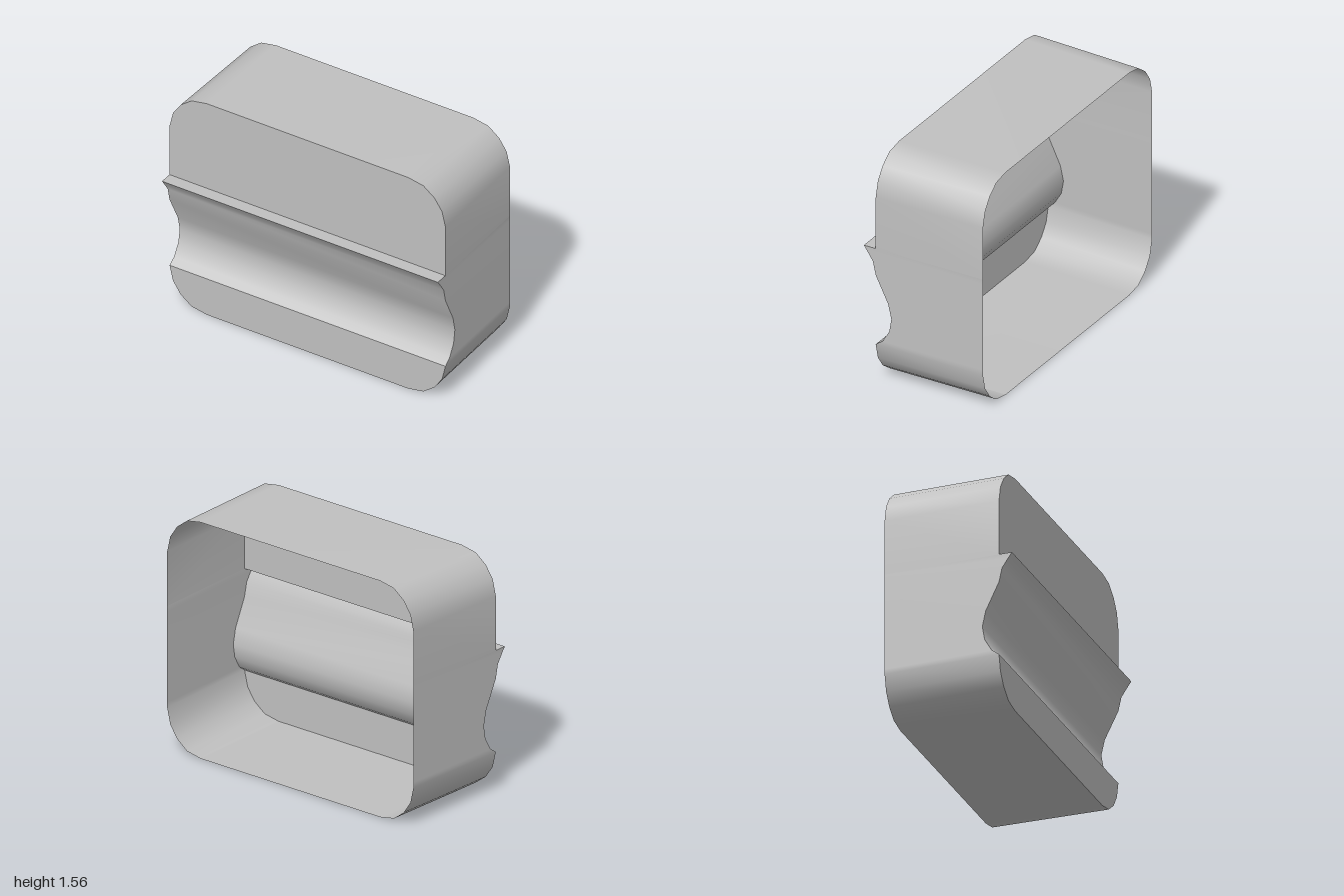
import * as THREE from 'three';

const BACK = -0.42, FRONT = 0.335, HEIGHT = 1.56, LEDGE = 0.935, SILL = 0.265;

// Groove in the front, from the lip down to the sill: [y, z]
const groove = [
  [LEDGE, 0.42], [0.9, 0.395], [0.84, 0.355], [0.75, 0.335], [0.57, 0.247],
  [0.47, 0.225], [0.38, 0.24], [0.3, 0.287], [SILL, FRONT],
];

// Rounded corner, from the upright side to the flat top: [x, distance from the end]
const corner = [[1, 0.265], [0.975, 0.16], [0.92, 0.08], [0.84, 0.02], [0.73, 0]];

// The shell narrows slightly towards the back
const taper = (z) => Math.min(1, 0.98 + 0.02 * (z - BACK) / (FRONT - BACK));

// Joins two rows of points with a smooth strip
function strip(rowA, rowB, material, name) {
  const n = rowA.length, index = [];
  for (let i = 0; i < n - 1; i++) {
    index.push(i, i + 1, n + i + 1, i, n + i + 1, n + i);
  }
  const geometry = new THREE.BufferGeometry();
  geometry.setAttribute('position', new THREE.Float32BufferAttribute([...rowA, ...rowB].flat(), 3));
  geometry.setIndex(index);
  geometry.computeVertexNormals();
  const mesh = new THREE.Mesh(geometry, material);
  mesh.name = name;
  return mesh;
}

function panel(points, material, name) {
  const shape = new THREE.Shape(points.map(([x, y]) => new THREE.Vector2(x, y)));
  const mesh = new THREE.Mesh(new THREE.ShapeGeometry(shape), material);
  mesh.position.z = FRONT;
  mesh.name = name;
  return mesh;
}

export function createModel() {
  const group = new THREE.Group();
  group.name = 'openBackedHousing';
  const grey = new THREE.MeshStandardMaterial({ color: 0xc0c0c0, side: THREE.DoubleSide });
  grey.name = 'lightGrey';

  // Right half of the rim, bottom to top: [x, y, z of the front edge]
  const half = [
    ...[...corner].reverse().map(([x, d]) => [x, d, FRONT]),
    ...[...groove].reverse().slice(1).map(([y, z]) => [1, y, z]),
    [1, LEDGE, FRONT],
    ...corner.map(([x, d]) => [x, HEIGHT - d, FRONT]),
  ];
  const rim = [...half, ...[...half].reverse().map(([x, y, z]) => [-x, y, z]), half[0]];

  // Wall all the way round, following the groove at its front edge
  group.add(strip(
    rim.map(([x, y]) => [x * taper(BACK), y, BACK]),
    rim.map(([x, y, z]) => [x * taper(z), y, z]),
    grey, 'outerWall',
  ));

  // Flat front panels above and below the groove
  const mirror = (pts) => [...pts, ...[...pts].reverse().map(([x, y]) => [-x, y])];
  group.add(panel(mirror([[1, LEDGE], ...corner.map(([x, d]) => [x, HEIGHT - d])]), grey, 'upperFrontPanel'));
  group.add(panel(mirror([...corner].reverse()), grey, 'lowerFrontPanel'));

  // Ledge and curved groove across the full width
  const across = (pts, name) => group.add(strip(
    pts.map(([y, z]) => [-taper(z), y, z]),
    pts.map(([y, z]) => [taper(z), y, z]),
    grey, name,
  ));
  across([[LEDGE, FRONT], groove[0]], 'ledge');
  across(groove, 'frontGroove');

  return group;
}
